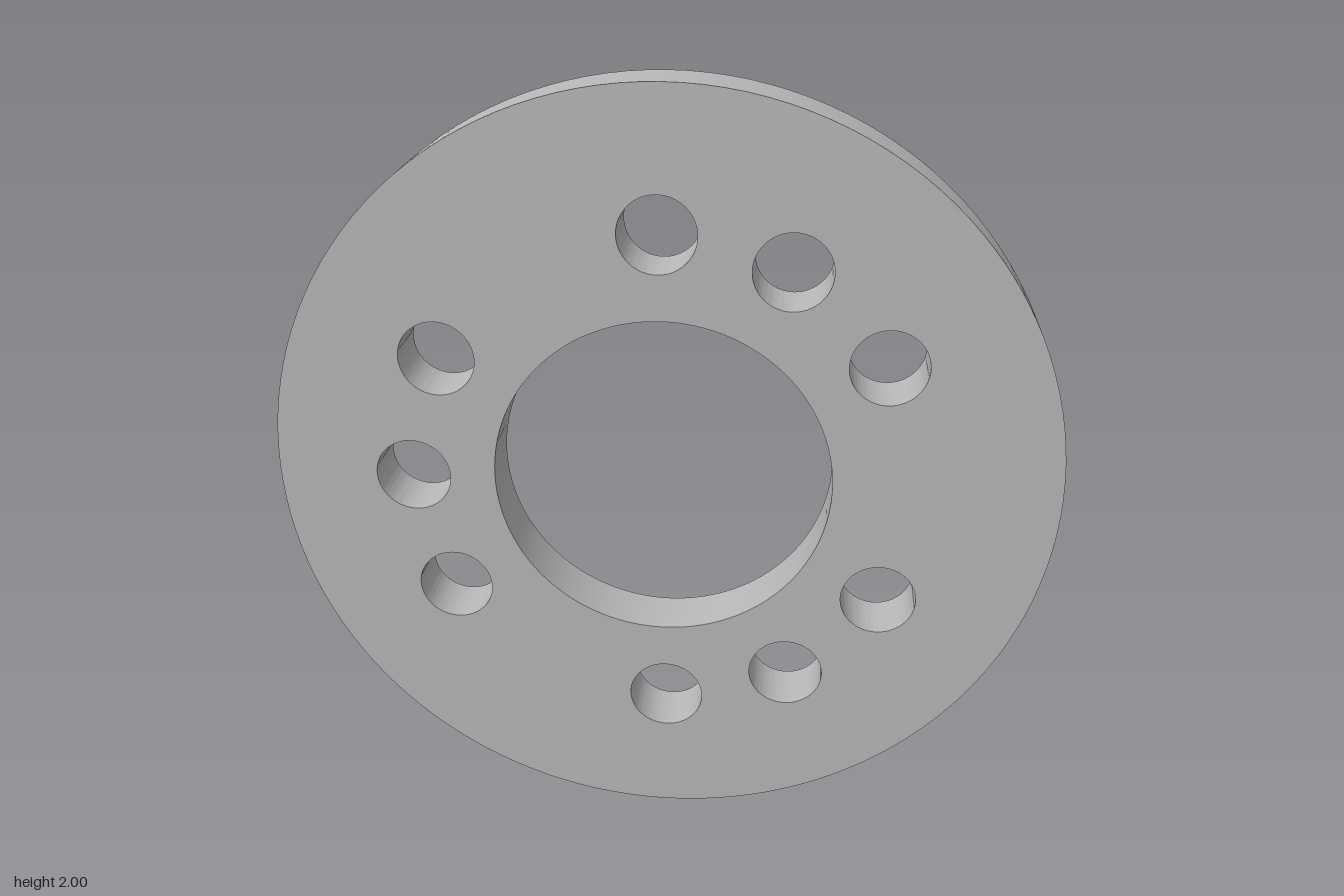
import * as THREE from 'three';
import { toCreasedNormals } from 'three/addons/utils/BufferGeometryUtils.js';

const BACK = -0.14, DISC_BACK = -0.012, FRONT = 0.14;
const rad = THREE.MathUtils.degToRad;

// Straight extrusion between two z planes, smooth around curves and sharp at rims
function extrude(shape, z0, z1, curveSegments) {
  const geo = new THREE.ExtrudeGeometry(shape, { depth: z1 - z0, bevelEnabled: false, curveSegments });
  geo.translate(0, 0, z0);
  return toCreasedNormals(geo, rad(30));
}

function circle(x, y, r) {
  return new THREE.Path().absarc(x, y, r, 0, Math.PI * 2, false);
}

// Ring sector centred on +x with rounded corners
function lugShape(inner, outer, half, round) {
  const ro = outer - round, ri = inner + round;
  const ao = half - Math.asin(round / ro), ai = half - Math.asin(round / ri);
  const q = Math.PI / 2;
  const s = new THREE.Shape();
  s.absarc(0, 0, outer, -ao, ao, false);
  s.absarc(ro * Math.cos(ao), ro * Math.sin(ao), round, ao, half + q, false);
  s.absarc(ri * Math.cos(ai), ri * Math.sin(ai), round, half + q, Math.PI + ai, false);
  s.absarc(0, 0, inner, ai, -ai, true);
  s.absarc(ri * Math.cos(ai), -ri * Math.sin(ai), round, Math.PI - ai, Math.PI * 2 - half - q, false);
  s.absarc(ro * Math.cos(ao), -ro * Math.sin(ao), round, -half - q, -ao, false);
  return s;
}

export function createModel() {
  const model = new THREE.Group();
  model.name = 'lugPlate';
  const metal = new THREE.MeshStandardMaterial({ color: 0xb8b8b8 });
  metal.name = 'grey metal';

  // Disc with a centre bore; every fourth of twelve positions is a lug, the rest are bolt holes
  const discShape = new THREE.Shape().absarc(0, 0, 1, 0, Math.PI * 2, false);
  discShape.holes.push(circle(0, 0, 0.431));
  const lugGeo = extrude(lugShape(0.516, 0.76, rad(14.8), 0.035), BACK, DISC_BACK, 12);

  for (let i = 0; i < 12; i++) {
    const a = rad(1 + i * 30);
    if (i % 4 !== 0) {
      discShape.holes.push(circle(0.645 * Math.cos(a), 0.645 * Math.sin(a), 0.097));
      continue;
    }
    const lug = new THREE.Mesh(lugGeo, metal);
    lug.name = 'backLug' + (i / 4 + 1);
    lug.position.y = 1;
    lug.rotation.z = a;
    model.add(lug);
  }

  const disc = new THREE.Mesh(extrude(discShape, DISC_BACK, FRONT, 64), metal);
  disc.name = 'disc';
  disc.position.y = 1;
  model.add(disc);
  return model;
}
